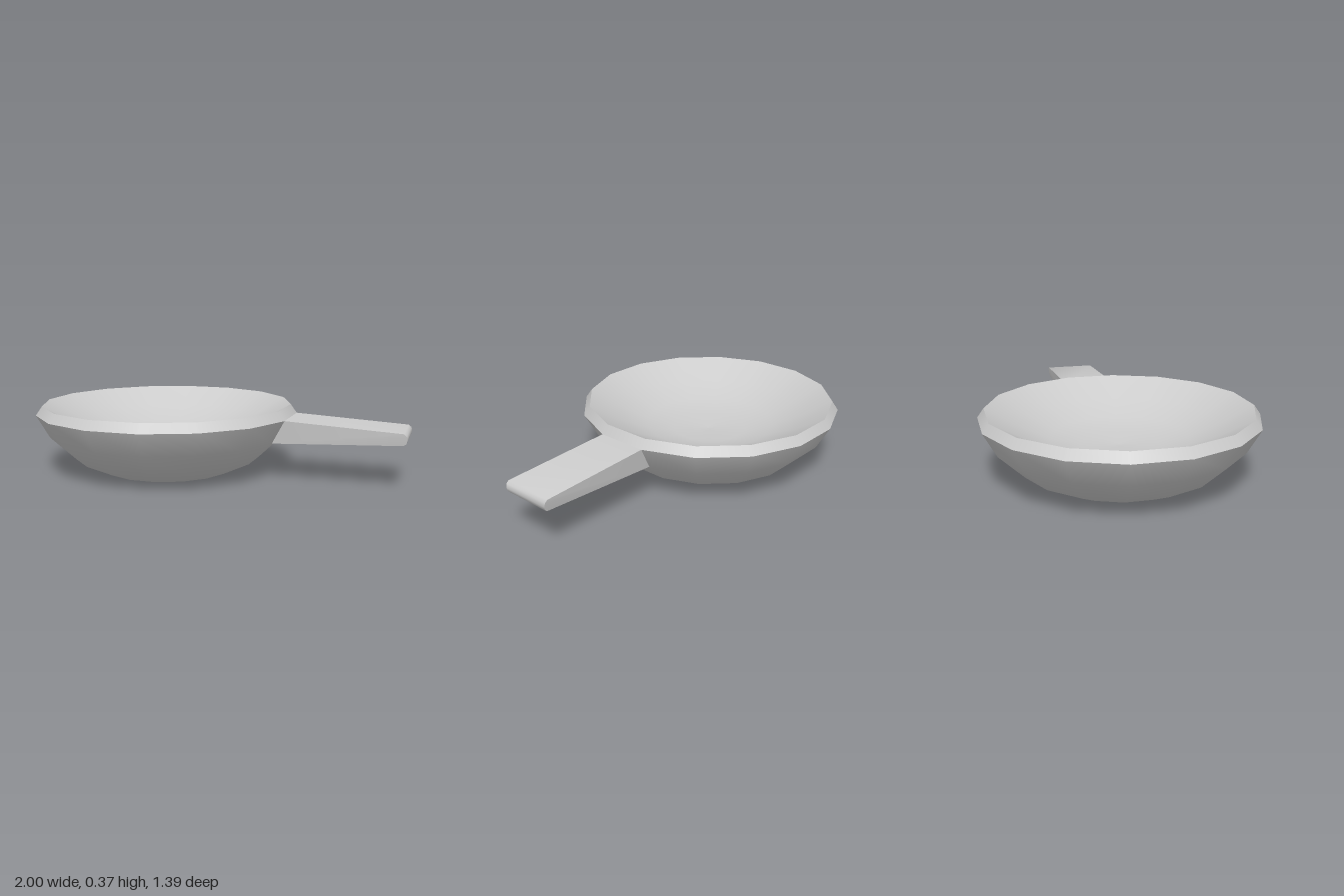
import * as THREE from 'three';
import { toCreasedNormals } from 'three/addons/utils/BufferGeometryUtils.js';

const SIDES = 16;
const CENTER_X = -0.305;
const material = new THREE.MeshStandardMaterial({ color: 0xcccccc, side: THREE.DoubleSide });

// Profile widths are measured to the flats of the 16-sided ring.
function ring(name, profile) {
  const points = profile.map(([r, y]) => new THREE.Vector2(r / Math.cos(Math.PI / SIDES), y));
  const mesh = new THREE.Mesh(new THREE.LatheGeometry(points, SIDES, Math.PI / SIDES), material);
  mesh.name = name;
  return mesh;
}

export function createModel() {
  const group = new THREE.Group();
  group.name = 'pan';

  const bowl = new THREE.Group();
  bowl.name = 'bowl';
  bowl.position.x = CENTER_X;
  group.add(bowl);

  // Outer wall, open underneath
  const wall = ring('outerWall', [[0.35, 0], [0.497, 0.07], [0.627, 0.195], [0.695, 0.318]]);
  // Leave out the one face that the handle grows from
  const index = Array.from(wall.geometry.index.array);
  index.splice((3 * 3 + 2) * 6, 6);
  wall.geometry.setIndex(index);

  // Bevelled rim
  const rim = ring('rim', [[0.695, 0.318], [0.663, 0.365]]);

  // Inside of the bowl: sloping sides that level out towards the middle
  const dish = ring('innerDish', [[0.663, 0.365], [0.5, 0.272], [0.35, 0.207], [0.2, 0.175], [0, 0.165]]);
  bowl.add(wall, rim, dish);

  // Handle: tapered side outline with a rounded tip, narrower towards its underside
  const outline = [[0.322, 0.195], [0.98, 0.227], [0.994, 0.236], [1, 0.255], [0.996, 0.275], [0.982, 0.287], [0.39, 0.318]];
  const shape = new THREE.Shape(outline.map(([x, y]) => new THREE.Vector2(x, y)));
  const geometry = new THREE.ExtrudeGeometry(shape, { depth: 2, bevelEnabled: false });
  geometry.translate(0, 0, -1);
  const pos = geometry.attributes.position;
  for (let i = 0; i < pos.count; i++) {
    const halfWidth = Math.min(0.138, 0.125 + (pos.getY(i) - 0.195) * 0.18);
    pos.setZ(i, pos.getZ(i) * halfWidth);
  }
  const handle = new THREE.Mesh(toCreasedNormals(geometry, 1), material);
  handle.name = 'handle';
  group.add(handle);

  return group;
}
